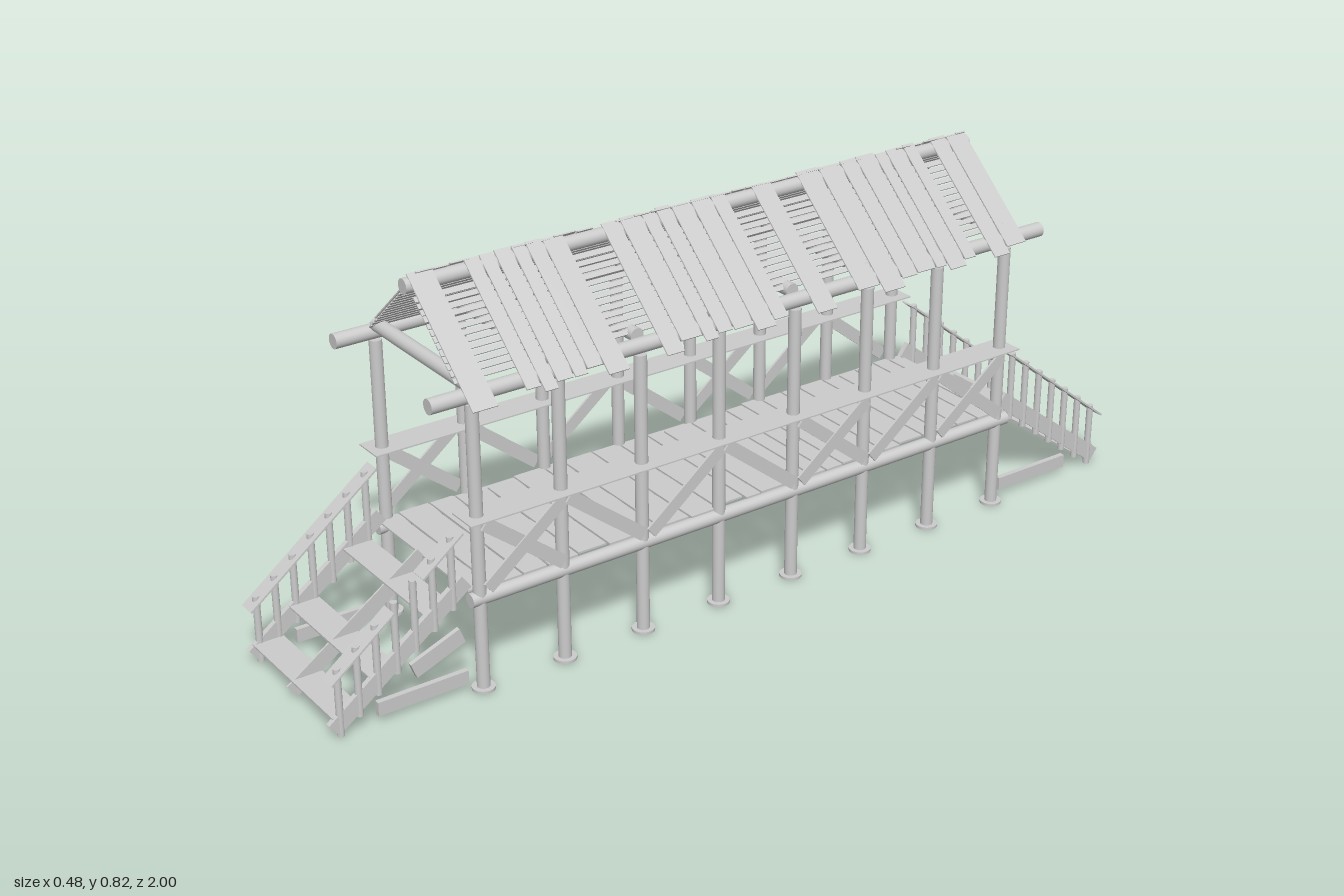
import * as THREE from 'three';

const CX = 0.0085; // centre line of the bridge
const mat = new THREE.MeshStandardMaterial({ color: 0xcccccc });

// small seeded generator for uneven boards
function seeded(seed) {
  let s = seed;
  return () => (s = (s * 16807) % 2147483647) / 2147483647;
}

function add(parent, name, geometry, x, y, z) {
  const mesh = new THREE.Mesh(geometry, mat);
  mesh.name = name;
  mesh.position.set(x, y, z);
  parent.add(mesh);
  return mesh;
}

const box = (parent, name, w, h, d, x, y, z) =>
  add(parent, name, new THREE.BoxGeometry(w, h, d), x, y, z);

// round log along an axis
function log(parent, name, radius, length, x, y, z, axis = 'y') {
  const g = new THREE.CylinderGeometry(radius, radius, length, 20);
  if (axis === 'z') g.rotateX(Math.PI / 2);
  if (axis === 'x') g.rotateZ(Math.PI / 2);
  return add(parent, name, g, x, y, z);
}

// board running between two (z, y) points
function slant(parent, name, x, z1, y1, z2, y2, thickX, height) {
  const dz = z2 - z1, dy = y2 - y1;
  const m = box(parent, name, thickX, height, Math.hypot(dz, dy), x, (y1 + y2) / 2, (z1 + z2) / 2);
  m.rotation.x = -Math.atan2(dy, dz);
  return m;
}

// posts, feet, long logs and tie beams
function buildFrame() {
  const g = new THREE.Group();
  g.name = 'frame';
  for (let i = 0; i < 8; i++) {
    const z = 0.668 - 0.19 * i;
    for (const s of [-1, 1]) {
      log(g, 'post', 0.0135, 0.617, CX + s * 0.182, 0.3085, z);
      log(g, 'postFoot', 0.024, 0.006, CX + s * 0.182, 0.003, z);
    }
    log(g, 'tieBeam', 0.015, 0.345, CX, 0.652, z, 'x');
  }
  for (const s of [-1, 1]) {
    log(g, 'eaveLog', 0.016, 1.52, CX + s * 0.182, 0.635, 0, 'z');
    log(g, 'floorLog', 0.015, 1.38, CX + s * 0.182, 0.203, 0, 'z');
  }
  log(g, 'middleFloorLog', 0.016, 1.38, CX, 0.203, 0, 'z');
  log(g, 'ridgeLog', 0.016, 1.4, CX, 0.797, 0, 'z');
  return g;
}

// uneven walkway planks
function buildFloor() {
  const g = new THREE.Group(), rnd = seeded(11);
  g.name = 'floor';
  for (let z = -0.69; z < 0.67;) {
    const d = Math.min(0.035 + 0.035 * rnd(), 0.69 - z);
    box(g, 'floorPlank', 0.345 + 0.02 * rnd(), 0.004, d, CX + 0.008 * (rnd() - 0.5), 0.221, z + d / 2);
    z += d + 0.005;
  }
  return g;
}

// flat handrails with crossed braces; 1 = falling to the back, 2 = rising, 3 = both
function buildRailings() {
  const g = new THREE.Group();
  g.name = 'railings';
  for (const s of [-1, 1]) {
    box(g, 'handrail', 0.07, 0.003, 1.39, CX + s * 0.182, 0.381, 0.005);
    const pattern = s > 0 ? [3, 1, 2, 1, 3, 2, 3] : [3, 1, 2, 1, 3, 2, 1];
    pattern.forEach((p, i) => {
      const front = 0.66 - 0.19 * i, back = front - 0.174;
      if (p & 1) slant(g, 'brace', CX + s * 0.199, front, 0.368, back, 0.23, 0.005, 0.028);
      if (p & 2) slant(g, 'brace', CX + s * 0.202, front, 0.23, back, 0.368, 0.005, 0.028);
    });
  }
  return g;
}

// roof boards with gaps, over thin lengthwise laths
function buildRoof() {
  const g = new THREE.Group(), rnd = seeded(5);
  g.name = 'roof';
  const gaps = {
    '1': [[0.61, 0.035], [0.305, 0.06], [-0.08, 0.05], [-0.19, 0.035], [-0.58, 0.04]],
    '-1': [[0.53, 0.03], [0.465, 0.03], [0.245, 0.04], [-0.43, 0.035], [-0.49, 0.035]],
  };
  const angle = Math.atan(0.886);
  for (const s of [-1, 1]) {
    const slope = new THREE.Group();
    slope.name = 'roofSlope';
    slope.position.set(CX, 0.819, 0);
    slope.rotation.z = -angle;
    const side = new THREE.Group();
    side.name = s > 0 ? 'leftRoof' : 'rightRoof';
    // the right slope is the left one turned half round, so its z runs backwards
    if (s < 0) { side.rotation.y = Math.PI; side.position.x = 2 * CX; }
    side.add(slope);
    g.add(side);
    for (let z = -0.695; z < 0.67;) {
      const d = Math.min(0.026 + 0.03 * rnd(), 0.695 - z);
      const mid = z + d / 2;
      const open = gaps[s].find(([c, w]) => Math.abs(mid - c) < w / 2 + 0.004);
      if (open) { z = open[0] + open[1] / 2 + 0.008; continue; }
      const len = 0.283 + 0.025 * rnd();
      box(slope, 'roofBoard', len, 0.003, d, len / 2 - 0.006 * rnd(), -0.002 * rnd(), s * mid);
      z += d + 0.004;
    }
    for (let i = 0; i < 13; i++)
      box(slope, 'lath', 0.011, 0.003, 1.38, 0.048 + 0.0148 * i, -0.016, 0);
  }
  // one overlong board
  const odd = box(g, 'looseRoofBoard', 0.335, 0.003, 0.025, CX - 0.126, 0.71, -0.01);
  odd.rotation.z = angle;
  return g;
}

// one flight of steps, facing +z
function buildStair(treads, brokenSide) {
  const g = new THREE.Group();
  g.name = 'stair';
  const railY = z => 0.12 + (1 - z) * 0.78;
  for (const s of [-1, 1]) {
    const x = s * 0.167;
    slant(g, 'stringer', x, 0.99, 0.018, 0.69, 0.242, 0.012, 0.035);
    box(g, 'groundBoard', 0.012, 0.03, 0.2, x, 0.03, 0.795);
    const pieces = s === brokenSide ? [[0.995, 0.855], [0.79, 0.7]] : [[0.995, 0.7]];
    for (const [a, b] of pieces)
      slant(g, 'stairRail', x, a, railY(a), b, railY(b), 0.038, 0.004);
    for (let i = 0; i < 7; i++) {
      const z = 0.974 - 0.0425 * i, top = railY(z) + 0.008, bottom = Math.max(0, (0.97 - z) * 0.75);
      log(g, 'picket', 0.0075, top - bottom, x, (top + bottom) / 2, z);
    }
  }
  slant(g, 'middleStringer', 0, 0.99, 0.018, 0.69, 0.225, 0.004, 0.035);
  for (const i of treads)
    box(g, 'tread', 0.335, 0.004, 0.066, 0, 0.041 + 0.03 * i, 0.957 - 0.042 * i);
  return g;
}

export function createModel() {
  const model = new THREE.Group();
  model.name = 'coveredBridge';
  model.add(buildFrame(), buildFloor(), buildRailings(), buildRoof());

  const front = buildStair([0, 2, 5], 1);
  front.name = 'frontStair';
  front.position.x = CX;
  slant(front, 'fallenBoard', 0.16, 0.81, 0.08, 0.7, 0.122, 0.01, 0.035);

  const back = buildStair([0, 1, 2, 3, 4, 5], 0);
  back.name = 'backStair';
  back.rotation.y = Math.PI;
  back.position.x = CX;
  model.add(front, back);
  return model;
}
